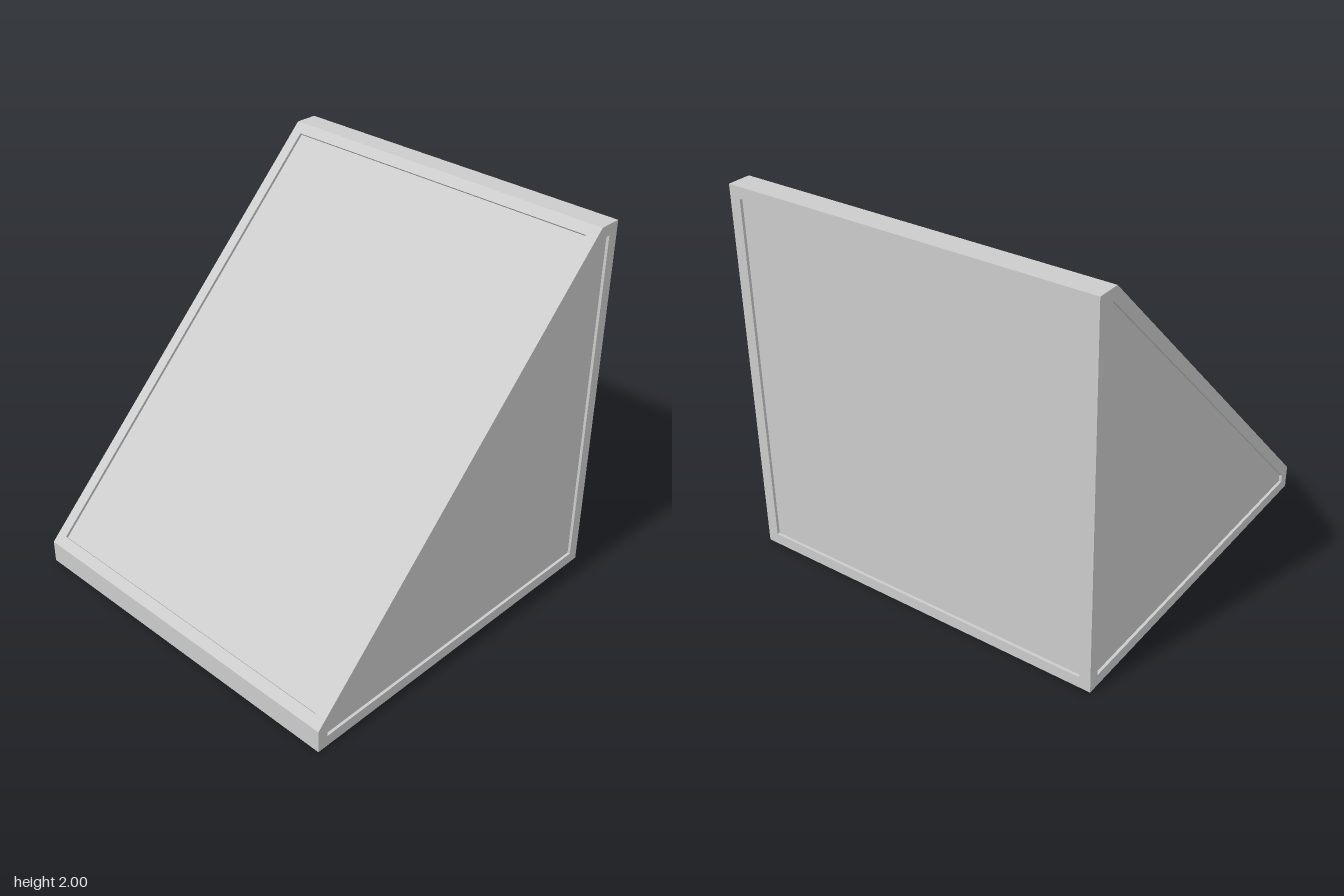
import * as THREE from 'three';
import { mergeGeometries } from 'three/addons/utils/BufferGeometryUtils.js';

const MARGIN = 0.06;  // width of the raised border
const DEPTH = 0.015;  // depth of the recessed panels
const LIP = 0.125;    // flat strip at the toe and at the top of the ramp

const material = new THREE.MeshStandardMaterial({ color: 0xcccccc, flatShading: true });

// Moves every edge of a counter-clockwise convex polygon inwards by m
function inset(points, m) {
  const n = points.length;
  const normal = (a, b) => {
    const d = b.clone().sub(a).normalize();
    return new THREE.Vector2(-d.y, d.x);
  };
  return points.map((p, i) => {
    const n1 = normal(points[(i + n - 1) % n], p);
    const n2 = normal(p, points[(i + 1) % n]);
    return n1.clone().add(n2).multiplyScalar(m / (1 + n1.dot(n2))).add(p);
  });
}

// A flat border around a recessed panel, facing local +z
function recessedFace(points) {
  const inner = inset(points, MARGIN);
  const border = new THREE.Shape(points);
  border.holes.push(new THREE.Path(inner));
  const floor = new THREE.ShapeGeometry(new THREE.Shape(inner)).translate(0, 0, -DEPTH);

  // Short walls joining the border to the panel
  const walls = inner.map((a, i) => {
    const b = inner[(i + 1) % inner.length];
    const wall = new THREE.PlaneGeometry(a.distanceTo(b), DEPTH);
    wall.rotateX(-Math.PI / 2).rotateX(Math.PI / 2); // upright in local xy
    const x = new THREE.Vector3(b.x - a.x, b.y - a.y, 0).normalize();
    const y = new THREE.Vector3(0, 0, 1);
    const z = new THREE.Vector3(-x.y, x.x, 0);
    // (x, y, -z) would be right-handed, so run the wall backwards along the edge
    const m = new THREE.Matrix4().makeBasis(x.negate(), y, z);
    m.setPosition((a.x + b.x) / 2, (a.y + b.y) / 2, -DEPTH / 2);
    return wall.applyMatrix4(m);
  });
  return mergeGeometries([new THREE.ShapeGeometry(border), floor, ...walls]);
}

function rectangle(w, h) {
  return [[-w, -h], [w, -h], [w, h], [-w, h]].map(([x, y]) => new THREE.Vector2(x / 2, y / 2));
}

export function createModel() {
  const group = new THREE.Group();
  const add = (name, geometry, position, rotX = 0, rotY = 0) => {
    const mesh = new THREE.Mesh(geometry, material);
    mesh.name = name;
    mesh.position.set(...position);
    mesh.rotation.set(rotX, rotY, 0);
    group.add(mesh);
  };
  const quarter = Math.PI / 2;

  // Triangular sides with clipped tips
  const profile = [[-1, 0], [1, 0], [1, 2], [1 - LIP, 2], [-1, LIP]]
    .map(([x, y]) => new THREE.Vector2(x, y));
  const mirrored = profile.map(p => new THREE.Vector2(-p.x, p.y)).reverse();
  add('leftSide', recessedFace(profile), [1, 0, 0], 0, quarter);
  add('rightSide', recessedFace(mirrored), [-1, 0, 0], 0, -quarter);

  // Square back and base
  add('back', recessedFace(rectangle(2, 2)), [0, 1, -1], 0, Math.PI);
  add('base', recessedFace(rectangle(2, 2)), [0, 0, 0], quarter);

  // Sloping ramp face
  const rampLength = (2 - LIP) * Math.SQRT2;
  add('ramp', recessedFace(rectangle(2, rampLength)), [0, 1 + LIP / 2, LIP / 2], -Math.PI / 4);

  // Plain strips closing the toe and the top
  add('toeStrip', new THREE.PlaneGeometry(2, LIP), [0, LIP / 2, 1]);
  add('topStrip', new THREE.PlaneGeometry(2, LIP), [0, 2, -1 + LIP / 2], -quarter);
  return group;
}
